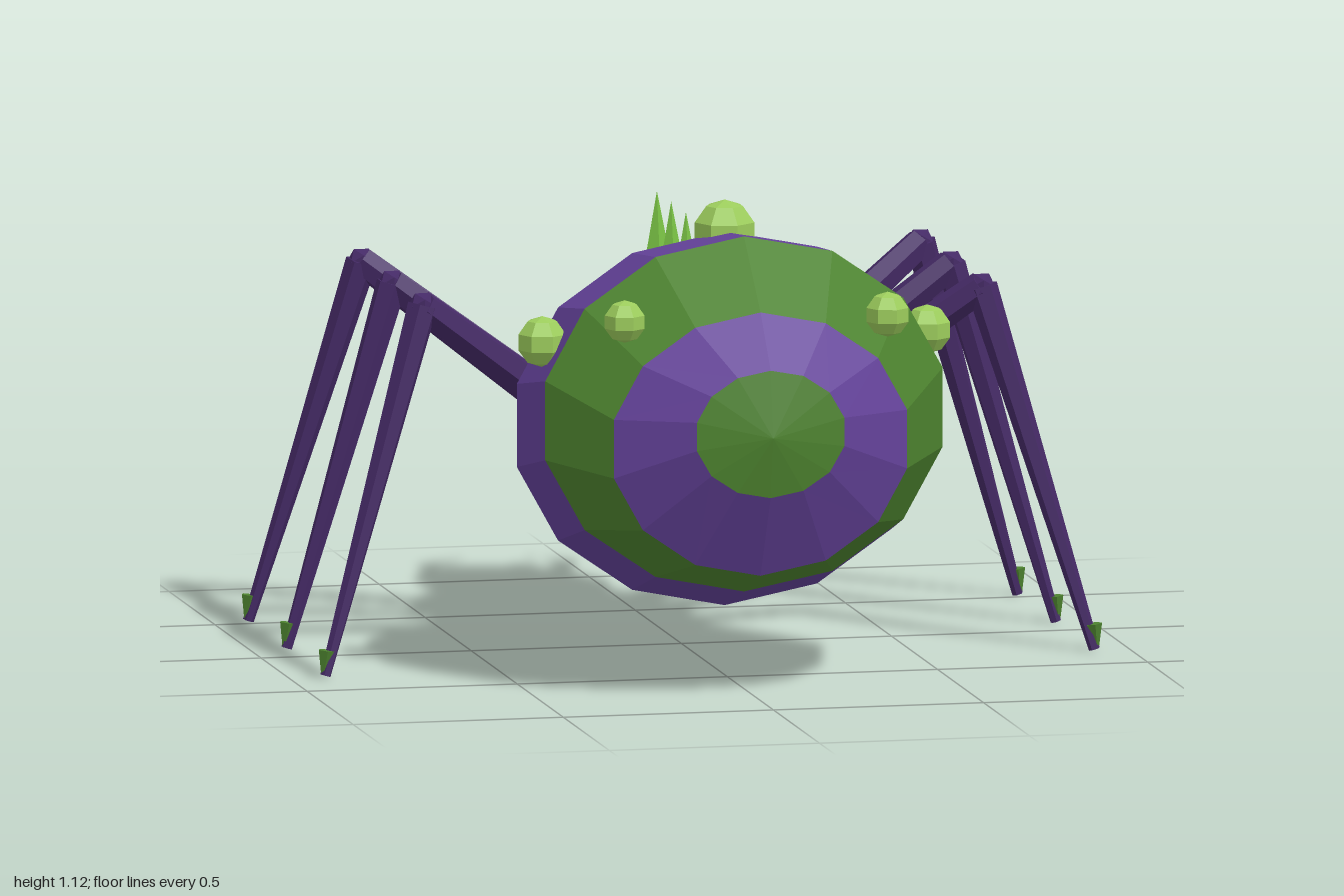
import * as THREE from 'three';

const flat = (name, color) => {
  const m = new THREE.MeshStandardMaterial({ color, flatShading: true });
  m.name = name;
  return m;
};

// Faceted loft along z; each ring is [z, centreY, radiusX, radiusY], z ascending
function loft(rings, sides, phase) {
  const pos = [];
  const point = ([z, cy, rx, ry], j) => {
    const a = phase + (j / sides) * Math.PI * 2;
    return [rx * Math.cos(a), cy + ry * Math.sin(a), z];
  };
  for (let i = 0; i < rings.length - 1; i++) {
    for (let j = 0; j < sides; j++) {
      const a = point(rings[i], j), b = point(rings[i], j + 1);
      const c = point(rings[i + 1], j + 1), d = point(rings[i + 1], j);
      if (rings[i][2] > 0) pos.push(...a, ...b, ...d);
      if (rings[i + 1][2] > 0) {
        if (rings[i][2] > 0) pos.push(...b, ...c, ...d);
        else pos.push(...a, ...c, ...d);
      }
    }
  }
  const g = new THREE.BufferGeometry();
  g.setAttribute('position', new THREE.Float32BufferAttribute(pos, 3));
  g.computeVertexNormals();
  return g;
}

// Tapered rod between two points
function rod(from, to, r0, r1, sides) {
  const a = new THREE.Vector3(...from), b = new THREE.Vector3(...to);
  const dir = b.clone().sub(a);
  const g = new THREE.CylinderGeometry(r1, r0, dir.length(), sides);
  g.applyQuaternion(new THREE.Quaternion().setFromUnitVectors(
    new THREE.Vector3(0, 1, 0), dir.clone().normalize()));
  const mid = a.add(b).multiplyScalar(0.5);
  return g.translate(mid.x, mid.y, mid.z);
}

export function createModel() {
  const model = new THREE.Group();
  model.name = 'spider';
  const purple = flat('purple', 0x64429a);
  const darkPurple = flat('dark purple', 0x452a66);
  const green = flat('green', 0x4d832f);
  const spikeGreen = flat('bright green', 0x78c043);
  const paleGreen = flat('pale green', 0x9ccc5c);

  const add = (name, geometry, material, parent = model) => {
    const mesh = new THREE.Mesh(geometry, material);
    mesh.name = name;
    parent.add(mesh);
    return mesh;
  };

  // Banded abdomen
  const abdomen = new THREE.Group();
  abdomen.name = 'abdomen';
  model.add(abdomen);
  const rings = [
    [0.07, 0.6, 0, 0], [0.13, 0.6, 0.21, 0.19], [0.26, 0.635, 0.38, 0.345],
    [0.47, 0.61, 0.507, 0.44], [0.68, 0.653, 0.485, 0.418],
    [0.86, 0.61, 0.358, 0.31], [0.97, 0.65, 0.18, 0.15], [1.0, 0.645, 0, 0],
  ];
  const bands = [[0, 2], [2, 3], [3, 4], [4, 5], [5, 6], [6, 7]];
  bands.forEach(([s, e], i) => add('abdomenBand',
    loft(rings.slice(s, e + 1), 14, Math.PI / 2), i % 2 ? green : purple, abdomen));

  // Thorax and head, ten sided with a flat top
  add('thorax', loft([
    [-0.45, 0.56, 0, 0], [-0.41, 0.56, 0.19, 0.16], [-0.29, 0.556, 0.277, 0.228],
    [-0.11, 0.556, 0.307, 0.257], [0.08, 0.556, 0.27, 0.225],
    [0.16, 0.556, 0.16, 0.14], [0.2, 0.556, 0, 0],
  ], 10, Math.PI / 10), purple);
  add('head', loft([
    [-0.755, 0.565, 0, 0], [-0.75, 0.565, 0.06, 0.055], [-0.69, 0.56, 0.165, 0.15],
    [-0.57, 0.56, 0.21, 0.195], [-0.44, 0.56, 0.198, 0.18],
    [-0.37, 0.56, 0.12, 0.11], [-0.34, 0.56, 0, 0],
  ], 10, Math.PI / 10), purple);

  // Back spikes
  for (const z of [0.05, -0.11, -0.265]) {
    const spike = add('backSpike', new THREE.ConeGeometry(0.048, 0.24, 5), spikeGreen);
    spike.position.set(0, 0.91, z);
  }

  // Abdomen warts: x, y, z, radius
  for (const [x, y, z, r] of [
    [0, 1.05, 0.47, 0.075], [-0.46, 0.825, 0.59, 0.06], [0.46, 0.82, 0.57, 0.058],
    [-0.31, 0.9, 0.8, 0.05], [0.31, 0.9, 0.825, 0.053],
  ]) {
    add('wart', new THREE.SphereGeometry(r, 7, 5), paleGreen).position.set(x, y, z);
  }

  for (const s of [1, -1]) {
    // Eyes
    add('eye', new THREE.SphereGeometry(0.032, 7, 5), paleGreen)
      .position.set(s * 0.107, 0.642, -0.7);

    // Hooked fangs
    const elbow = [s * 0.172, 0.485, -0.87];
    add('fangBase', rod([s * 0.1, 0.505, -0.68], elbow, 0.032, 0.02, 5), spikeGreen);
    add('fangTip', rod(elbow, [s * 0.06, 0.452, -1.0], 0.02, 0.001, 5), spikeGreen);

    // Legs: hip, knee and foot depth
    for (const [hipZ, kneeZ, footZ] of [
      [0.06, 0.225, 0.31], [-0.11, -0.11, -0.11], [-0.28, -0.44, -0.525],
    ]) {
      const leg = new THREE.Group();
      leg.name = 'leg';
      model.add(leg);
      const knee = [s * 0.665, 0.86, kneeZ];
      add('upperLeg', rod([s * 0.22, 0.52, hipZ], knee, 0.05, 0.036, 6), darkPurple, leg);
      add('lowerLeg', rod(knee, [s * 0.915, 0.01, footZ], 0.037, 0.013, 6), darkPurple, leg);
      add('knee', new THREE.IcosahedronGeometry(0.034, 0), darkPurple, leg)
        .position.set(...knee);
      add('claw', rod([s * 0.913, 0.07, footZ], [s * 0.92, 0.015, footZ], 0.02, 0.006, 5),
        green, leg);
    }
  }
  return model;
}
